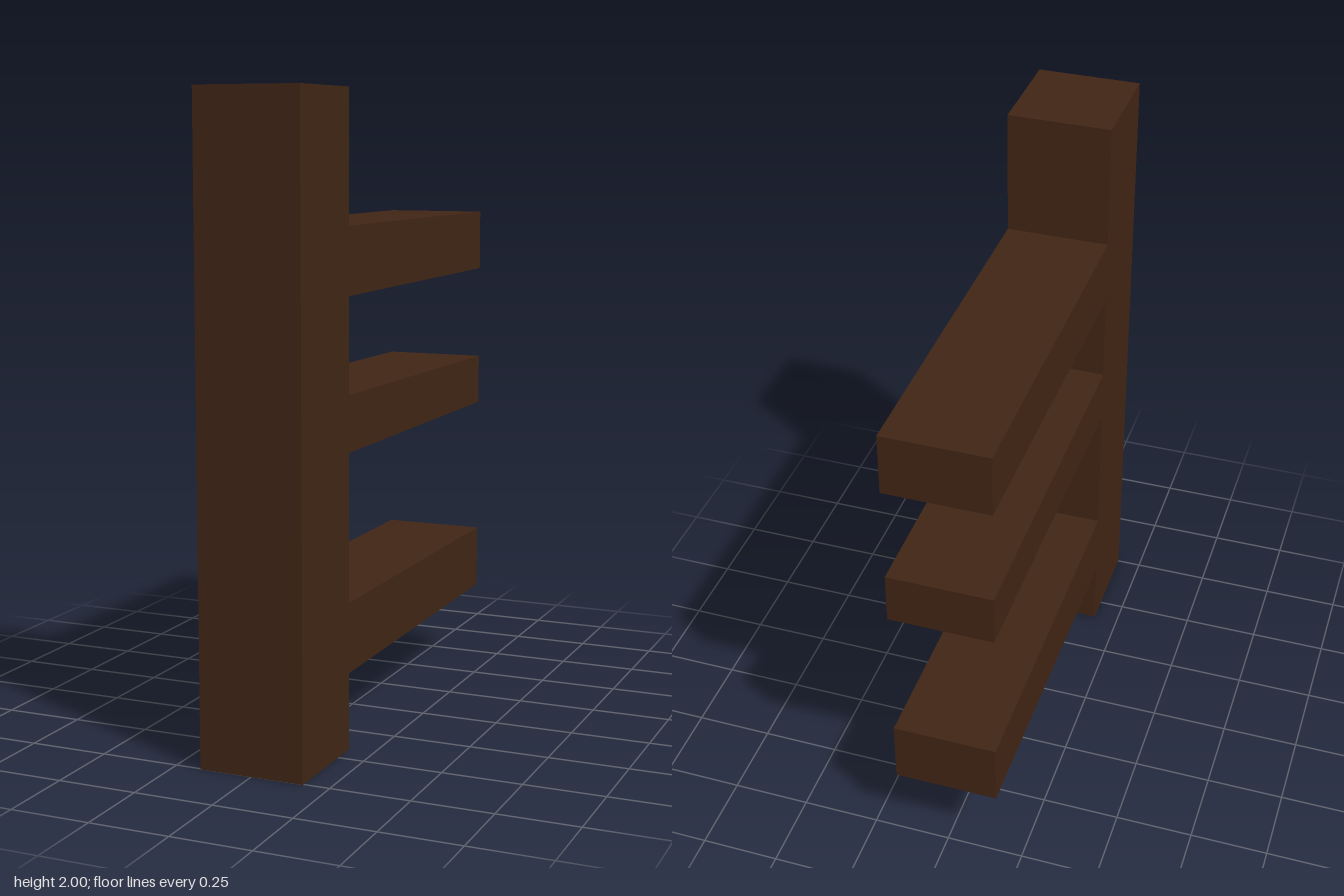
import * as THREE from 'three';

const WIDTH = 0.334;
const FRONT = 0.755, POST_BACK = 0.417, BACK = -0.755;

export function createModel() {
  const group = new THREE.Group();
  const wood = new THREE.MeshStandardMaterial({ color: 0x402514, flatShading: true });

  // A beam from its side outline of [z, y] points, extruded across x
  const addBeam = (name, outline) => {
    const shape = new THREE.Shape(outline.map(([z, y]) => new THREE.Vector2(z, y)));
    const geometry = new THREE.ExtrudeGeometry(shape, { depth: WIDTH, bevelEnabled: false });
    geometry.translate(0, 0, -WIDTH / 2).rotateY(-Math.PI / 2);
    const mesh = new THREE.Mesh(geometry, wood);
    mesh.name = name;
    group.add(mesh);
  };

  // Upright post
  addBeam('post', [[POST_BACK, 0], [FRONT, 0], [FRONT, 2], [POST_BACK, 2]]);

  // Rails, very slightly tapered: bottom and top at the post, then at the free end
  const rails = [
    ['lowerRail', 0.24, 0.46, 0.25, 0.46],
    ['middleRail', 0.92, 1.095, 0.92, 1.085],
    ['upperRail', 1.39, 1.597, 1.398, 1.597],
  ];
  for (const [name, postBottom, postTop, endBottom, endTop] of rails) {
    addBeam(name, [[BACK, endBottom], [POST_BACK, postBottom], [POST_BACK, postTop], [BACK, endTop]]);
  }
  return group;
}
